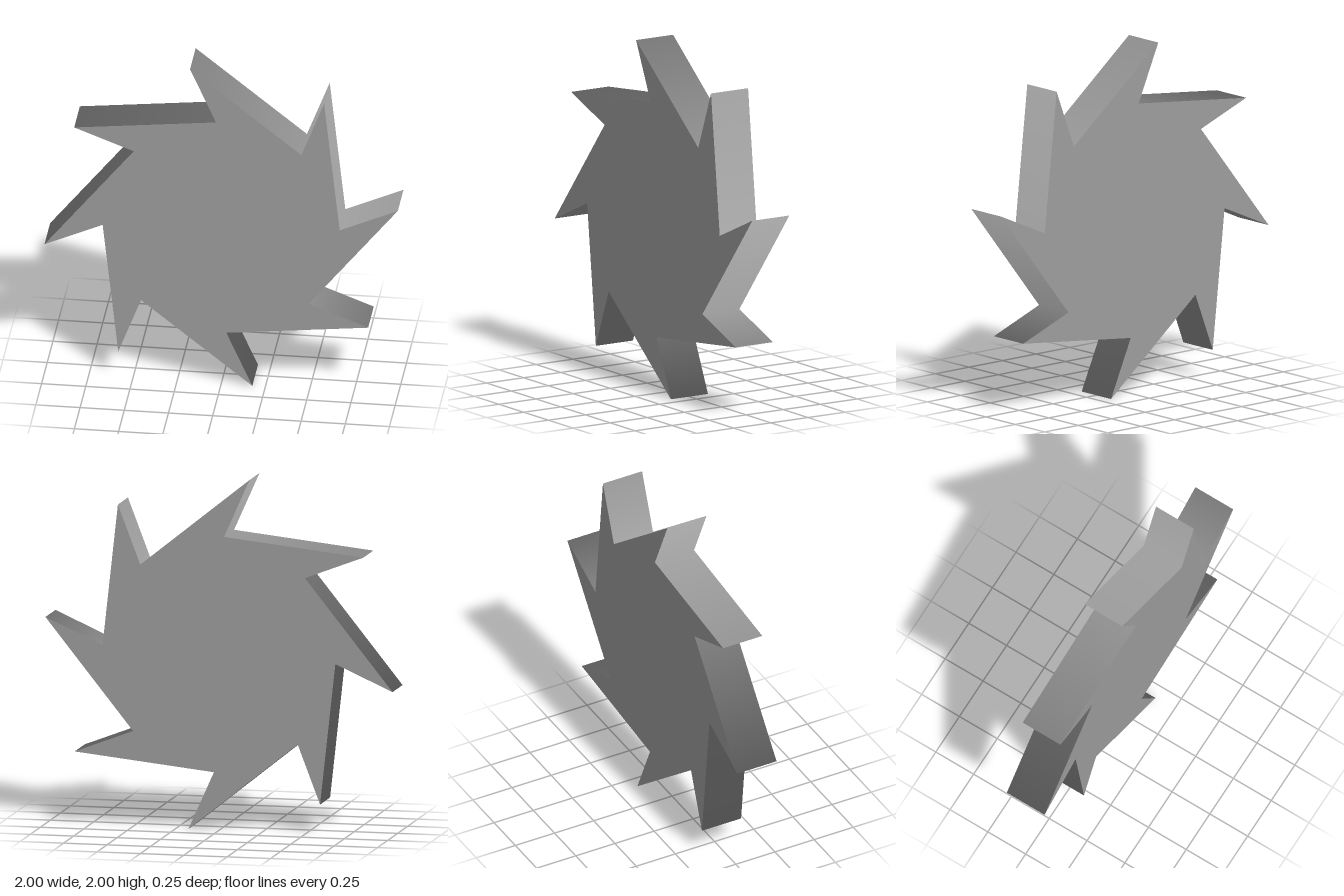
import * as THREE from 'three';

const TEETH = 8, TIP_R = 1.015, ROOT_R = 0.671, HALF = 0.125;
const TIP_ANGLE = 10, ROOT_ANGLE = 2.5;

// Saw-tooth outline, counter-clockwise, centred on the axis
function outline() {
  const points = [];
  const polar = (r, deg) => {
    const a = THREE.MathUtils.degToRad(deg);
    points.push(new THREE.Vector2(r * Math.cos(a), r * Math.sin(a)));
  };
  for (let i = 0; i < TEETH; i++) {
    polar(TIP_R, TIP_ANGLE + i * 360 / TEETH);
    polar(ROOT_R, ROOT_ANGLE + i * 360 / TEETH);
  }
  return points;
}

// Rim wall; each corner's normal is the even average of its two walls
function rimGeometry(points) {
  const positions = [], normals = [], indices = [], n = points.length;
  points.forEach((p, i) => {
    const next = points[(i + 1) % n], prev = points[(i + n - 1) % n];
    const along = next.clone().sub(p).normalize();
    along.add(p.clone().sub(prev).normalize()).normalize();
    positions.push(p.x, p.y, HALF, p.x, p.y, -HALF);
    normals.push(along.y, -along.x, 0, along.y, -along.x, 0);
    const a = 2 * i, b = 2 * ((i + 1) % n);
    indices.push(a, a + 1, b, b, a + 1, b + 1);
  });
  const geometry = new THREE.BufferGeometry();
  geometry.setAttribute('position', new THREE.Float32BufferAttribute(positions, 3));
  geometry.setAttribute('normal', new THREE.Float32BufferAttribute(normals, 3));
  geometry.setIndex(indices);
  return geometry;
}

export function createModel() {
  const group = new THREE.Group();
  group.name = 'sawToothWheel';
  const material = new THREE.MeshStandardMaterial({ color: 0x9d9d9d });
  const points = outline();

  const add = (name, geometry) => {
    const mesh = new THREE.Mesh(geometry, material);
    mesh.name = name;
    mesh.position.y = 1;
    group.add(mesh);
    return mesh;
  };

  add('toothedRim', rimGeometry(points));

  // Flat faces
  add('frontFace', new THREE.ShapeGeometry(new THREE.Shape(points))).position.z = HALF;
  const mirrored = points.map(p => new THREE.Vector2(-p.x, p.y)).reverse();
  const back = add('backFace', new THREE.ShapeGeometry(new THREE.Shape(mirrored)));
  back.rotation.y = Math.PI;
  back.position.z = -HALF;

  return group;
}
